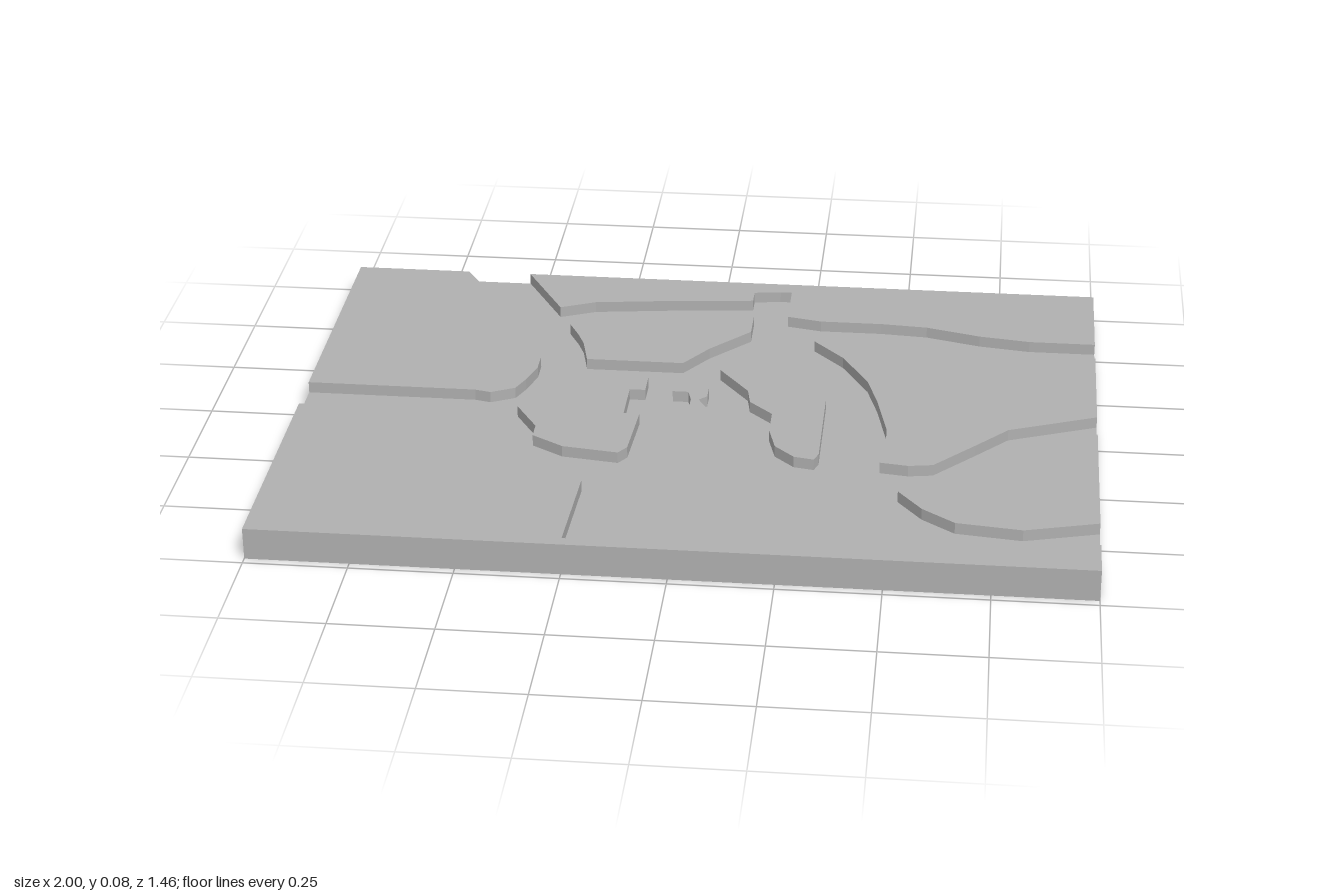
import * as THREE from 'three';

const FLOOR = 0.051, TOP = 0.08, DEPTH = 1.46;

// Outlines of the raised ground as x, z pairs
const plateaus = {
  northWestPlateau: [-1, -.73, -.70, -.73, -.53, -.46, -.48, -.36, -.45, -.32, -.43, -.23, -.43, -.17,
    -.45, -.10, -.47, -.05, -.53, -.02, -.57, -.03, -1, -.03],
  northEastPlateau: [-.53, -.73, -.42, -.53, -.33, -.57, -.11, -.60, .09, -.62, .09, -.67, .16, -.68,
    .19, -.68, .19, -.53, .28, -.51, .44, -.51, .56, -.50, .70, -.46, .83, -.44, 1, -.44, 1, -.73],
  southPlateau: [-1, .09, -.93, .08, -.57, .08, -.55, .11, -.51, .27, -.37, .33, -.24, .42, -.25, .70,
    -.14, .70, -.13, .42, -.09, .26, -.07, .06, -.05, .06, -.04, .03, -.02, .03, -.02, -.03,
    -.03, -.07, -.07, -.07, -.06, -.14, -.02, -.12, .02, -.09, .02, -.05, 0, -.03, .06, .08,
    .11, .21, .16, .29, .39, .38, .43, .44, .51, .57, .66, .62, .81, .635, .92, .63, 1, .61,
    1, .73, -1, .73],
  westIsland: [-.33, -.14, -.14, -.14, -.14, -.07, -.18, -.07, -.18, .06, -.14, .06, -.15, .24,
    -.17, .27, -.31, .25, -.39, .20, -.39, .15, -.45, .05, -.37, .02, -.35, -.09],
  northIsland: [-.38, -.43, -.33, -.47, -.25, -.49, -.06, -.53, .02, -.54, .10, -.53, .10, -.43,
    0, -.32, -.06, -.23, -.14, -.23, -.31, -.23, -.33, -.32, -.35, -.37],
  middleIsland: [.16, -.31, .25, -.26, .29, -.18, .32, -.06, .32, .23, .31, .26, .26, .25, .21, .20,
    .19, .12, .19, .03, .13, -.03, .12, -.09, .04, -.20],
  eastPlateau: [.27, -.39, .40, -.40, .55, -.39, .70, -.36, 1, -.36, 1, -.03, .78, .06, .70, .15,
    .60, .26, .54, .27, .47, .26, .48, .19, .48, .09, .45, -.06, .42, -.17, .35, -.30],
  southEastPlateau: [1, .06, .85, .13, .74, .19, .70, .31, .62, .35, .52, .34, .52, .40, .58, .48,
    .66, .54, .82, .56, 1, .51],
};

export function createModel() {
  const group = new THREE.Group();
  group.name = 'streetRelief';
  const stone = new THREE.MeshStandardMaterial({ color: 0xb0b0b0 });
  stone.name = 'grey stone';

  const add = (name, geometry) => {
    const mesh = new THREE.Mesh(geometry, stone);
    mesh.name = name;
    group.add(mesh);
  };

  // Base slab; its top is the floor of the sunken streets
  add('baseSlab', new THREE.BoxGeometry(2, FLOOR, DEPTH).translate(0, FLOOR / 2, 0));

  // Raised blocks between the streets
  for (const [name, xz] of Object.entries(plateaus)) {
    const points = [];
    for (let i = 0; i < xz.length; i += 2) points.push(new THREE.Vector2(xz[i], -xz[i + 1]));
    const block = new THREE.ExtrudeGeometry(new THREE.Shape(points), { depth: TOP - FLOOR, bevelEnabled: false });
    add(name, block.rotateX(-Math.PI / 2).translate(0, FLOOR, 0));
  }
  return group;
}
